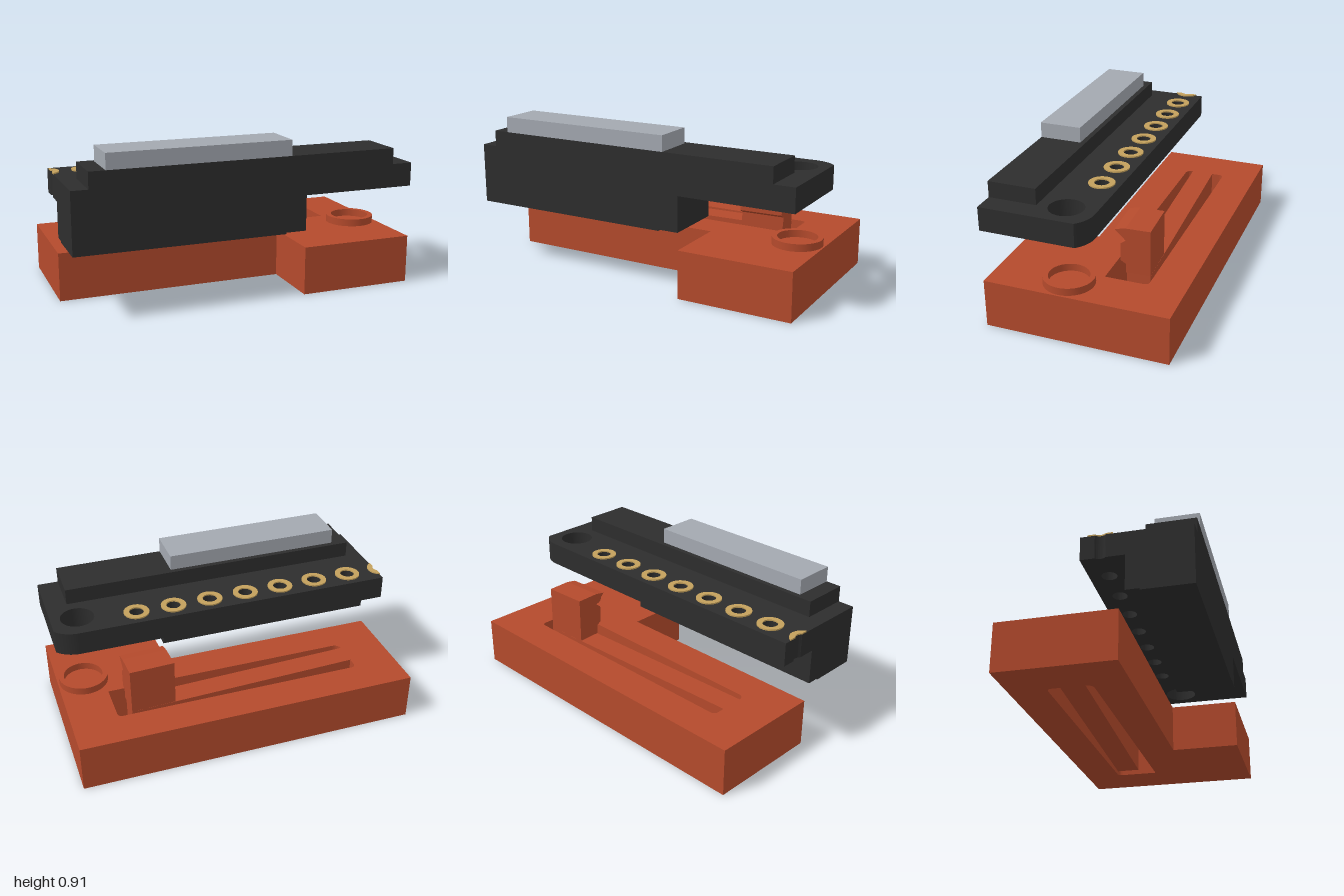
import * as THREE from 'three';
import { toCreasedNormals } from 'three/addons/utils/BufferGeometryUtils.js';

export function createModel() {
  const model = new THREE.Group();
  model.name = 'latchingConnector';

  const material = (name, color) => {
    const m = new THREE.MeshStandardMaterial({ color });
    m.name = name;
    return m;
  };
  const rust = material('rust red', 0xb44a2c);
  const black = material('black', 0x2d2d2d);
  const grey = material('light grey', 0xa3a8b0);
  const gold = material('gold', 0xc3a05c);

  const add = (name, geometry, mat, parent = model) => {
    const mesh = new THREE.Mesh(geometry, mat);
    mesh.name = name;
    parent.add(mesh);
    return mesh;
  };

  // Block given by its limits
  const block = (name, mat, x0, x1, y0, y1, z0, z1) => {
    const g = new THREE.BoxGeometry(x1 - x0, y1 - y0, z1 - z0);
    g.translate((x0 + x1) / 2, (y0 + y1) / 2, (z0 + z1) / 2);
    return add(name, g, mat);
  };

  // Plan outline (shape y = -z) raised from y0 to y1
  const slab = (name, mat, shape, y0, y1) => {
    const g = new THREE.ExtrudeGeometry(shape, { depth: y1 - y0, bevelEnabled: false, curveSegments: 32 });
    g.rotateX(-Math.PI / 2);
    g.translate(0, y0, 0);
    return add(name, toCreasedNormals(g, 0.5), mat);
  };

  const circle = (x, z, r) => new THREE.Path().absarc(x, -z, r, 0, Math.PI * 2, false);
  const ring = (x, z, outer, inner) => {
    const s = new THREE.Shape().absarc(x, -z, outer, 0, Math.PI * 2, false);
    s.holes.push(circle(x, z, inner));
    return s;
  };

  // L-shaped base with a slot that frees the spring arm
  const base = new THREE.Shape();
  base.moveTo(-1, 0.525);
  base.lineTo(-1, -0.135);
  base.lineTo(0.33, -0.135);
  base.lineTo(0.33, -0.525);
  base.lineTo(1, -0.525);
  base.lineTo(1, 0.525);
  base.closePath();

  const slot = new THREE.Path();
  slot.moveTo(-0.74, 0.24);
  slot.lineTo(0.65, 0.297);
  slot.lineTo(0.65, 0.16);
  slot.lineTo(-0.74, 0.105);
  slot.quadraticCurveTo(-0.735, 0.07, -0.7, 0.067);
  slot.lineTo(0.735, 0.067);
  slot.lineTo(0.735, 0.285);
  slot.quadraticCurveTo(0.735, 0.315, 0.705, 0.315);
  slot.lineTo(-0.71, 0.315);
  slot.quadraticCurveTo(-0.74, 0.315, -0.74, 0.285);
  slot.closePath();
  base.holes.push(slot);
  slab('base', rust, base, 0, 0.28);

  // Locating collar on the base
  const post = { x: 0.847, z: 0.092 };
  slab('collar', rust, ring(post.x, post.z, 0.143, 0.113), 0.28, 0.323);

  // Hooked latch at the end of the spring arm, profile as [z, y]
  const profile = [
    [0, 0.28], [0, 0.55], [0.14, 0.55], [0.202, 0.538], [0.14, 0.477],
    [0.17, 0.455], [0.17, 0.353], [0.14, 0.335], [0.14, 0.28],
  ];
  const latchShape = new THREE.Shape(profile.map(([z, y]) => new THREE.Vector2(-z, y)));
  const latchGeometry = new THREE.ExtrudeGeometry(latchShape, { depth: 0.26, bevelEnabled: false });
  latchGeometry.rotateY(Math.PI / 2);
  const latch = add('latch', latchGeometry, rust);
  latch.position.set(0.39, 0, -0.285);
  latch.rotation.y = 0.045;

  // Board with a rounded corner, contact holes and a half hole at its edge
  const padZ = 0.033, padOuter = 0.074, padInner = 0.042, edgeX = -1.03;
  const innerAngle = Math.acos(0.03 / padInner);
  const outerAngle = Math.acos(0.03 / padOuter);
  const board = new THREE.Shape();
  board.moveTo(-1, -0.525);
  board.lineTo(1, -0.525);
  board.absarc(0.87, -0.095, 0.17, 0.7, Math.PI / 2, false);
  board.lineTo(-1, 0.075);
  board.absarc(edgeX, -padZ, padInner, innerAngle, -innerAngle, true);
  board.closePath();
  board.holes.push(circle(post.x, post.z, 0.097));

  // Gold contact rings in a row
  for (let i = 0; i < 7; i++) {
    const x = 0.515 - i * 0.221;
    board.holes.push(circle(x, padZ, padInner));
    slab('contactRing' + (i + 1), gold, ring(x, padZ, padOuter, padInner), 0.722, 0.73);
  }
  const halfRing = new THREE.Shape();
  halfRing.absarc(edgeX, -padZ, padOuter, -outerAngle, outerAngle, false);
  halfRing.absarc(edgeX, -padZ, padInner, innerAngle, -innerAngle, true);
  halfRing.closePath();
  slab('edgeContactRing', gold, halfRing, 0.722, 0.73);
  slab('board', black, board, 0.585, 0.722);

  // Housing below and above the board
  block('lowerHousing', black, -1, 0.33, 0.38, 0.585, 0.165, 0.525);
  block('lowerLip', black, -1, 0.21, 0.372, 0.38, 0.24, 0.525);
  block('upperHousing', black, -0.905, 0.877, 0.722, 0.815, 0.25, 0.525);

  // Grey connector block on top
  block('connectorBlock', grey, -0.813, 0.235, 0.815, 0.905, 0.28, 0.525);

  return model;
}
